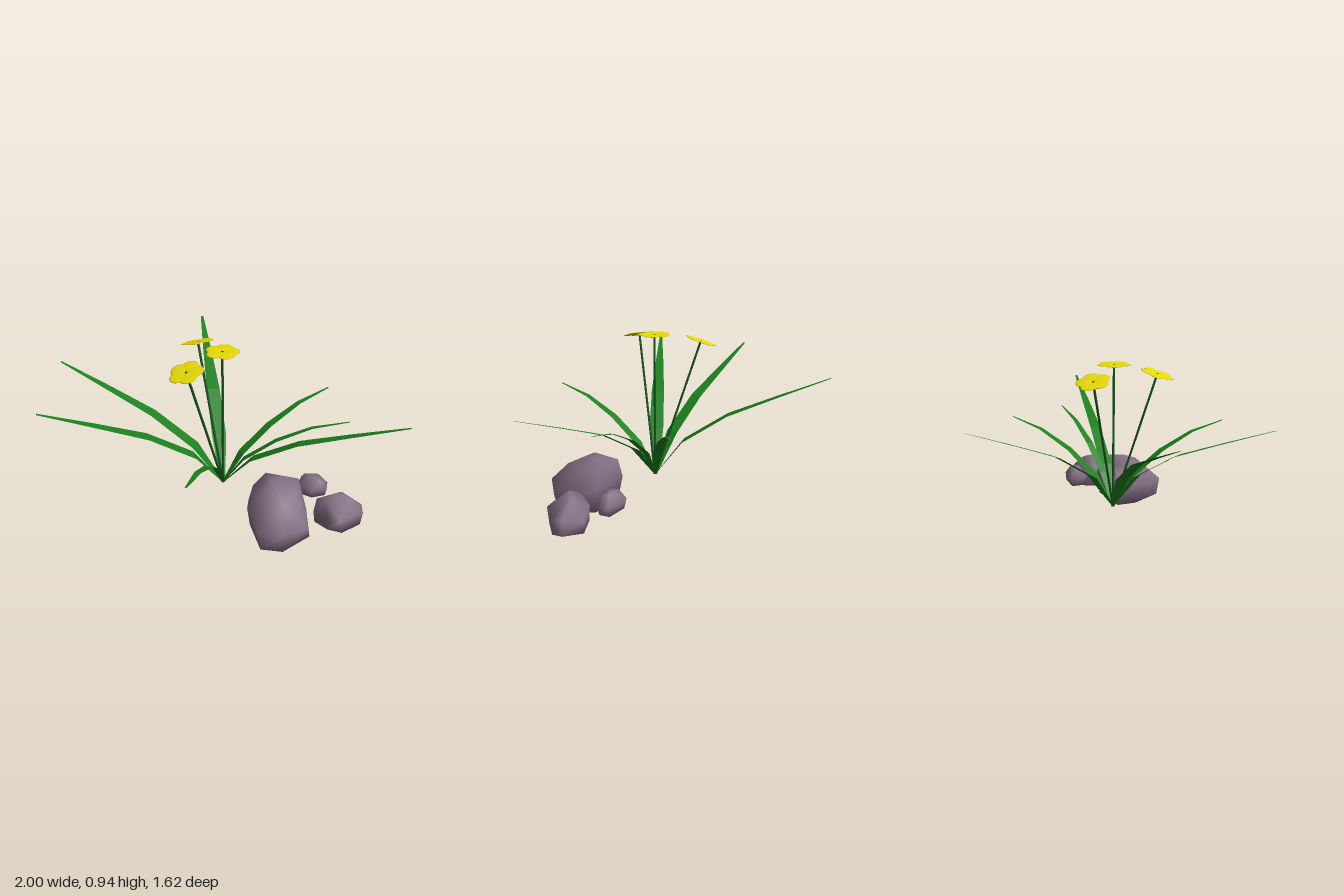
import * as THREE from 'three';
import { mergeVertices } from 'three/addons/utils/BufferGeometryUtils.js';
import { ConvexGeometry } from 'three/addons/geometries/ConvexGeometry.js';

const UP = new THREE.Vector3(0, 1, 0);
const ROOT = new THREE.Vector3(-0.015, 0.092, 0.104);

function material(name, color, extra = {}) {
  const m = new THREE.MeshStandardMaterial({ color, ...extra });
  m.name = name;
  return m;
}

function mesh(name, geometry, mat) {
  const m = new THREE.Mesh(geometry, mat);
  m.name = name;
  return m;
}

// Folded blade: a horizontal-width strip that arches from the root to its tip
function leafGeometry(tip, width, rise) {
  const run = [0, 0.17, 0.43, 0.71, 1];
  const widths = [0.3, 1, 0.92, 0.62, 0.2];
  const d = tip.clone().sub(ROOT);
  const side = new THREE.Vector3(d.x, 0, d.z).normalize().cross(UP);
  const pos = [], index = [];
  run.forEach((t, i) => {
    const c = new THREE.Vector3(d.x * t, d.y * rise[i], d.z * t).add(ROOT);
    for (const s of [-0.5, 0.5]) {
      const p = c.clone().addScaledVector(side, s * width * widths[i]);
      pos.push(p.x, p.y, p.z);
    }
    if (i > 0) {
      const a = 2 * i - 2;
      index.push(a, a + 1, a + 3, a, a + 3, a + 2);
    }
  });
  const g = new THREE.BufferGeometry();
  g.setAttribute('position', new THREE.Float32BufferAttribute(pos, 3));
  g.setIndex(index);
  const flat = g.toNonIndexed();
  flat.computeVertexNormals();
  return flat;
}

// Boulder: hull around a few [x, y, z] corners, smoothly shaded all over
function rockGeometry(corners) {
  const hull = new ConvexGeometry(corners.map((c) => new THREE.Vector3(...c)));
  hull.deleteAttribute('normal');
  const smooth = mergeVertices(hull, 1e-4);
  smooth.computeVertexNormals();
  return smooth;
}

export function createModel() {
  const group = new THREE.Group();
  const leafGreen = material('leaf green', 0x1b801d, { side: THREE.DoubleSide });
  const stemGreen = material('stem green', 0x17581d);
  const petalYellow = material('petal yellow', 0xeadd06);
  const stone = material('mauve stone', 0x846f84);

  // Leaves: tip x, y, z, width, and whether the blade droops
  const tall = [0, 0.35, 0.62, 0.81, 1], droop = [0, 0.38, 0.68, 0.89, 1];
  const leaves = [
    [-0.39, 0.73, -0.81, 0.085, tall],
    [-0.86, 0.73, 0.62, 0.085, tall],
    [-1.0, 0.73, 0.035, 0.075, tall],
    [1.0, 0.68, 0.215, 0.07, tall],
    [0.515, 0.55, -0.36, 0.055, droop],
    [0.68, 0.55, 0.01, 0.045, droop],
    [-0.015, 0.555, 0.81, 0.058, droop],
  ];
  const foliage = new THREE.Group();
  foliage.name = 'leaves';
  for (const [x, y, z, w, rise] of leaves) {
    foliage.add(mesh('leaf', leafGeometry(new THREE.Vector3(x, y, z), w, rise), leafGreen));
  }
  group.add(foliage);

  // Flowers: head centre x, y, z and spin; five broad flat petals around the stem
  const petal = new THREE.SphereGeometry(1, 16, 6).scale(0.047, 0.004, 0.046).translate(0, 0, -0.05);
  for (const [x, y, z, spin] of [
    [-0.015, 0.938, 0.104, 0],
    [-0.206, 0.89, -0.088, -0.5],
    [-0.155, 0.898, 0.306, -0.15],
  ]) {
    const flower = new THREE.Group();
    flower.name = 'flower';
    const d = new THREE.Vector3(x, y, z).sub(ROOT);
    const length = d.length();
    flower.position.copy(ROOT);
    flower.quaternion.setFromUnitVectors(UP, d.normalize());
    const stem = mesh('stem', new THREE.CylinderGeometry(0.007, 0.007, length + 0.002, 6), stemGreen);
    stem.position.y = (length + 0.002) / 2;
    const blossom = new THREE.Group();
    blossom.name = 'blossom';
    blossom.position.y = length;
    blossom.rotation.y = spin;
    for (let i = 0; i < 5; i++) {
      const p = mesh('petal', petal, petalYellow);
      p.rotation.y = (i / 5) * Math.PI * 2;
      blossom.add(p);
    }
    flower.add(stem, blossom);
    group.add(flower);
  }

  // Rocks
  const rocks = {
    largeRock: [
      [0.2, 0, 0.22], [0.45, 0, 0.19], [0.54, 0, 0.36], [0.42, 0, 0.52], [0.3, 0, 0.53], [0.2, 0, 0.34],
      [0.17, 0.1, 0.245], [0.215, 0.14, 0.175], [0.455, 0.14, 0.175], [0.5, 0.1, 0.25],
      [0.535, 0.1, 0.42], [0.41, 0.11, 0.545], [0.29, 0.11, 0.545], [0.185, 0.12, 0.35],
      [0.19, 0.19, 0.23], [0.48, 0.17, 0.38], [0.25, 0.23, 0.4], [0.4, 0.23, 0.42],
      [0.25, 0.255, 0.18], [0.44, 0.255, 0.19], [0.45, 0.245, 0.3], [0.31, 0.292, 0.3], [0.36, 0.284, 0.23],
    ],
    mediumRock: [
      [0.55, 0.01, 0.24], [0.57, 0.01, 0.14], [0.7, 0.01, 0.07], [0.79, 0.01, 0.14],
      [0.8, 0.01, 0.2], [0.71, 0.01, 0.3], [0.63, 0.01, 0.29],
      [0.54, 0.08, 0.24], [0.56, 0.1, 0.14], [0.7, 0.08, 0.06], [0.795, 0.1, 0.135],
      [0.81, 0.09, 0.2], [0.7, 0.1, 0.32], [0.63, 0.1, 0.31],
      [0.55, 0.15, 0.21], [0.6, 0.18, 0.25], [0.65, 0.2, 0.2], [0.68, 0.185, 0.16], [0.74, 0.16, 0.17],
    ],
    smallRock: [
      [0.44, 0.07, 0.08], [0.44, 0.07, 0], [0.57, 0.07, 0], [0.58, 0.07, 0.06], [0.51, 0.07, 0.1],
      [0.42, 0.12, 0.06], [0.43, 0.13, -0.01], [0.47, 0.12, -0.025], [0.585, 0.12, 0],
      [0.59, 0.12, 0.07], [0.51, 0.12, 0.11], [0.44, 0.13, 0.095],
      [0.45, 0.18, 0.03], [0.49, 0.192, 0.06], [0.53, 0.185, 0.02], [0.555, 0.165, 0.07],
    ],
  };
  for (const [name, corners] of Object.entries(rocks)) {
    group.add(mesh(name, rockGeometry(corners), stone));
  }
  return group;
}
